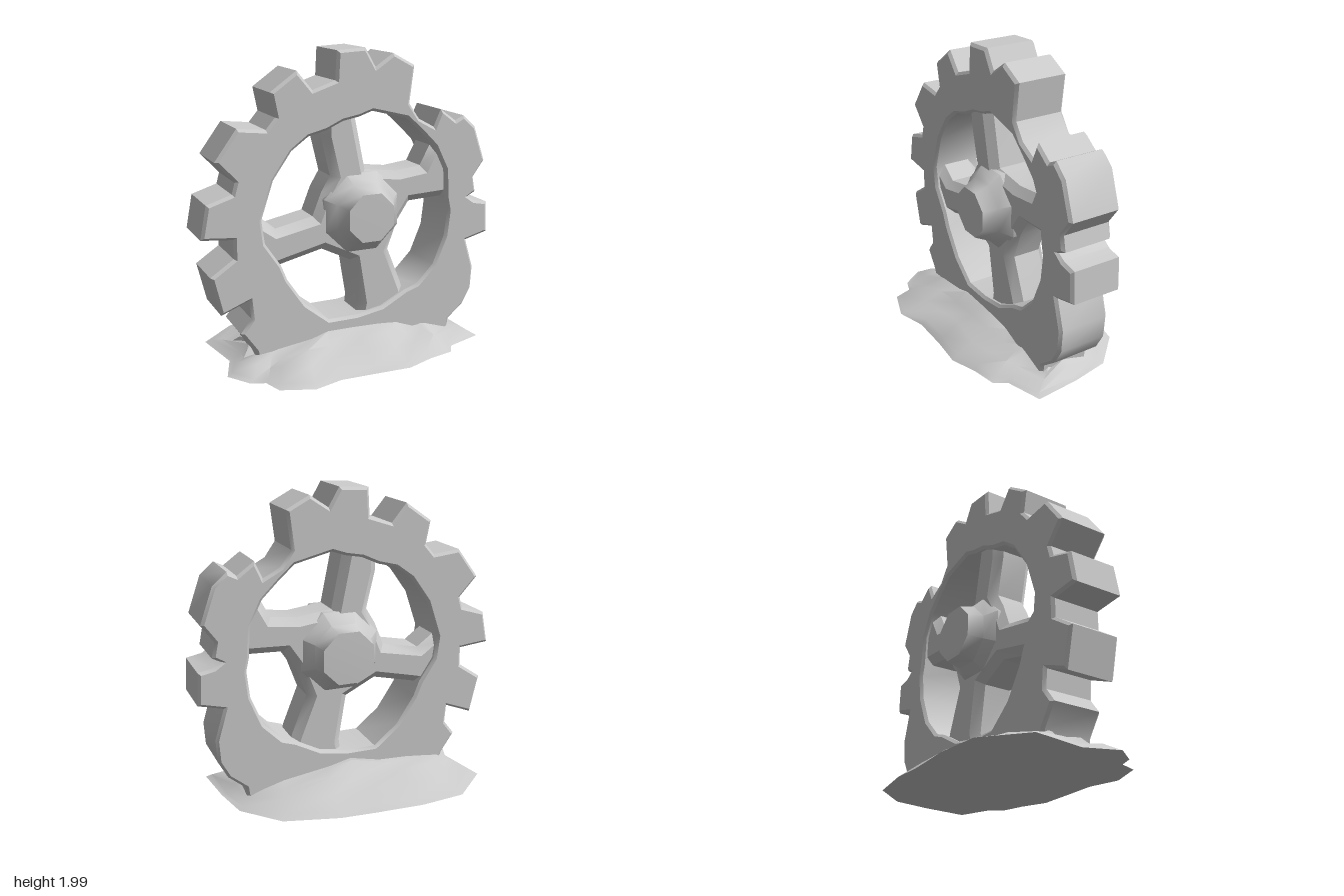
import * as THREE from 'three';
import { toCreasedNormals } from 'three/addons/utils/BufferGeometryUtils.js';

const stone = new THREE.MeshStandardMaterial({ color: 0xcccccc });
stone.name = 'pale stone';

// Weathered rim with worn teeth, counter-clockwise from the top
const rim = [
  [-0.13, 1.80], [-0.28, 1.75], [-0.38, 1.87], [-0.55, 1.75], [-0.52, 1.60], [-0.58, 1.53],
  [-0.76, 1.55], [-0.90, 1.36], [-0.78, 1.23], [-0.80, 1.16], [-0.96, 1.11], [-1.0, 0.90],
  [-0.80, 0.88], [-0.80, 0.76], [-0.95, 0.66], [-0.89, 0.41], [-0.71, 0.48], [-0.70, 0.36],
  [-0.77, 0.27], [-0.68, 0.14], [-0.66, 0.05], [0.70, 0.05], [0.71, 0.13], [0.82, 0.22],
  [0.88, 0.33], [0.89, 0.48], [0.83, 0.68], [0.99, 0.72], [0.98, 0.93], [0.88, 0.95],
  [0.83, 0.98], [0.89, 1.01], [0.87, 1.11], [0.95, 1.22], [0.87, 1.45], [0.78, 1.53],
  [0.72, 1.50], [0.61, 1.58], [0.56, 1.47], [0.45, 1.53], [0.38, 1.63], [0.41, 1.87],
  [0.26, 1.95], [0.14, 1.87], [0.07, 1.99], [-0.12, 1.98],
];

// Inner edge of the rim, clockwise from the top
const rimInside = [
  [0.03, 1.57], [0.12, 1.60], [0.36, 1.54], [0.47, 1.44], [0.57, 1.34], [0.65, 1.18],
  [0.66, 0.99], [0.68, 0.90], [0.66, 0.73], [0.58, 0.54], [0.46, 0.42], [0.37, 0.39],
  [0.20, 0.30], [0.02, 0.27], [-0.18, 0.27], [-0.34, 0.40], [-0.46, 0.58], [-0.50, 0.68],
  [-0.60, 0.83], [-0.62, 0.98], [-0.54, 1.22], [-0.42, 1.39], [-0.31, 1.47], [-0.19, 1.50],
  [-0.08, 1.55],
];

// Four spokes as one cross, counter-clockwise, with ends buried in the rim
const cross = [
  [0.10, 1.22], [0.03, 1.56], [0.01, 1.68], [-0.20, 1.62], [-0.20, 1.45], [-0.14, 1.20],
  [-0.20, 1.10], [-0.26, 0.95], [-0.51, 0.90], [-0.62, 0.98], [-0.73, 0.98], [-0.66, 0.62],
  [-0.46, 0.67], [-0.20, 0.73], [0.00, 0.63], [0.05, 0.33], [0.03, 0.17], [0.42, 0.25],
  [0.37, 0.42], [0.27, 0.67], [0.34, 0.86], [0.42, 0.98], [0.66, 0.99], [0.78, 0.99],
  [0.72, 1.40], [0.57, 1.34], [0.50, 1.21], [0.33, 1.19],
];

// Ground outline of the mound as x, z
const footprint = [
  [-0.86, -0.35], [-0.62, -0.57], [-0.33, -0.59], [0, -0.56], [0.22, -0.55], [0.57, -0.47],
  [0.78, -0.25], [0.83, 0], [0.86, 0.3], [0.62, 0.37], [0.57, 0.45], [0.4, 0.48], [0.22, 0.54],
  [0, 0.52], [-0.25, 0.52], [-0.44, 0.58], [-0.65, 0.51], [-0.69, 0.39], [-0.78, 0.36],
  [-0.88, 0.22], [-0.80, 0],
];

const vectors = (list) => list.map(([x, y]) => new THREE.Vector2(x, y));

// Slab between two z planes with chamfered edges
function slab(shape, back, front, bevel, crease) {
  const g = new THREE.ExtrudeGeometry(shape, {
    depth: front - back - 2 * bevel, bevelEnabled: true, bevelSize: bevel,
    bevelThickness: bevel, bevelOffset: -bevel, bevelSegments: 1,
  });
  g.translate(0, 0, back + bevel);
  return toCreasedNormals(g, crease);
}

function rimGeometry() {
  const shape = new THREE.Shape(vectors(rim));
  shape.holes.push(new THREE.Path(vectors(rimInside)));
  return slab(shape, -0.168, 0.182, 0.018, 0.6);
}

function moundGeometry() {
  // Each tier: x scale, z scale, height, unevenness
  const tiers = [[1, 1, 0.01, 0], [0.96, 0.93, 0.045, 0.008], [0.9, 0.7, 0.1, 0.018],
    [0.84, 0.5, 0.15, 0.02], [0.8, 0.36, 0.205, 0.015]];
  const n = footprint.length;
  const positions = [];
  const index = [];
  tiers.forEach(([sx, sz, y, rough], t) => {
    footprint.forEach(([x, z], i) => {
      // Ends of the mound stay lower than its middle, with the rim curling up slightly
      const height = t ? y * (1 - 0.12 * t * Math.abs(x)) : y + 0.022 * Math.abs(x);
      positions.push(x * sx, height + rough * Math.sin(i * 2.3 + t * 1.7), z * sz);
    });
  });
  const top = tiers.length * n;
  positions.push(0, 0.21, 0, 0, 0, 0);
  for (let i = 0; i < n; i++) {
    const j = (i + 1) % n;
    for (let t = 0; t < tiers.length - 1; t++) {
      const a = t * n + i, b = t * n + j, c = b + n, d = a + n;
      index.push(b, a, d, b, d, c);
    }
    const last = (tiers.length - 1) * n;
    index.push(last + j, last + i, top, i, j, top + 1);
  }
  const g = new THREE.BufferGeometry();
  g.setAttribute('position', new THREE.Float32BufferAttribute(positions, 3));
  g.setIndex(index);
  return toCreasedNormals(g, 0.8);
}

// Axle hub with a flared collar on both faces
function hubGeometry() {
  const profile = vectors([[0, -0.295], [0.18, -0.29], [0.205, -0.19], [0.28, -0.125],
    [0.28, 0.14], [0.21, 0.205], [0.165, 0.298], [0, 0.3]]);
  const g = new THREE.LatheGeometry(profile, 8, Math.PI / 8);
  g.rotateX(Math.PI / 2);
  g.translate(0.06, 0.95, 0);
  return toCreasedNormals(g, 0.85);
}

export function createModel() {
  const model = new THREE.Group();
  model.name = 'brokenGearMonument';
  const parts = {
    toothedRim: rimGeometry(),
    spokes: slab(new THREE.Shape(vectors(cross)), -0.135, 0.15, 0.05, 0.6),
    hub: hubGeometry(),
    groundMound: moundGeometry(),
  };
  for (const [name, geometry] of Object.entries(parts)) {
    const mesh = new THREE.Mesh(geometry, stone);
    mesh.name = name;
    model.add(mesh);
  }
  return model;
}
